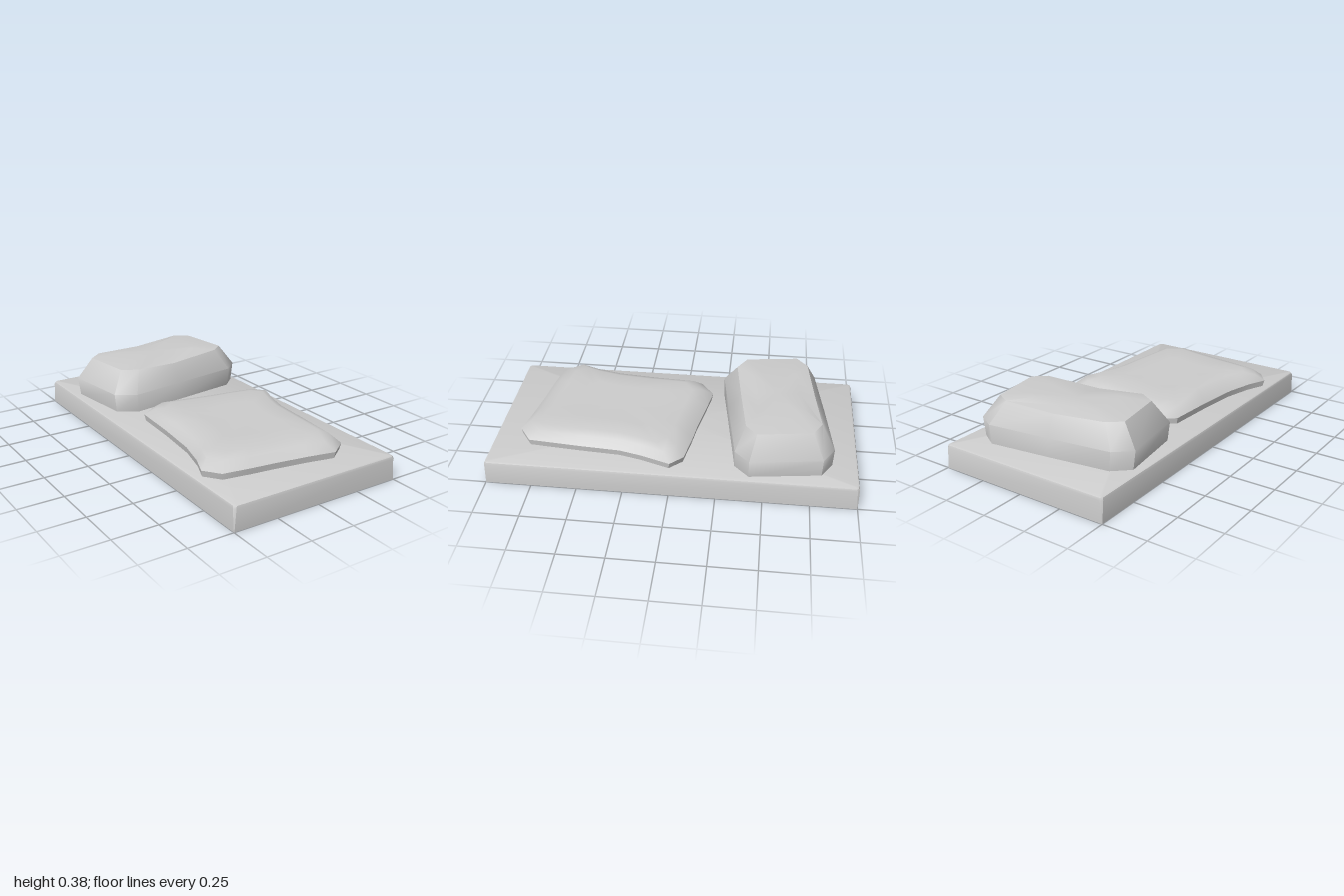
import * as THREE from 'three';
import { toCreasedNormals } from 'three/addons/utils/BufferGeometryUtils.js';

// Skin a stack of rings (each ring: [x, y, z] points, clockwise from above) and close both ends.
function loft(rings, crease, topDip = 0) {
  const n = rings[0].length;
  const verts = rings.flat();
  const index = [];
  for (let r = 0; r < rings.length - 1; r++) {
    for (let j = 0; j < n; j++) {
      const a = r * n + j, b = r * n + (j + 1) % n;
      index.push(a, a + n, b, b, a + n, b + n);
    }
  }
  const middle = (ring, drop) => {
    const c = [0, 0, 0];
    ring.forEach((p) => p.forEach((v, k) => { c[k] += v / n; }));
    c[1] -= drop;
    return verts.push(c) - 1;
  };
  const bottom = middle(rings[0], 0);
  const top = middle(rings[rings.length - 1], topDip);
  const last = (rings.length - 1) * n;
  for (let j = 0; j < n; j++) {
    const k = (j + 1) % n;
    index.push(bottom, j, k, top, last + k, last + j);
  }
  const geo = new THREE.BufferGeometry();
  geo.setAttribute('position', new THREE.Float32BufferAttribute(verts.flat(), 3));
  geo.setIndex(index);
  return toCreasedNormals(geo, crease);
}

// Rectangle with cut corners.
function cutRectangle(w, d, c, y) {
  return [
    [-w, y, -d + c], [-w + c, y, -d], [w - c, y, -d], [w, y, -d + c],
    [w, y, d - c], [w - c, y, d], [-w + c, y, d], [-w, y, d - c],
  ];
}

// Cushion rings: an outline [x, z] shrunk about its centre; levels are [scaleX, scaleZ, y, dip],
// where dip lowers the outline near the middle of the cushion's width.
function cushionRings(outline, cx, cz, levels) {
  return levels.map(([sx, sz, y, dip]) => outline.map(([x, z]) => {
    const sag = dip * Math.max(0, 1 - Math.abs(x - cx) / 0.2);
    return [cx + (x - cx) * sx, y - sag, cz + (z - cz) * sz];
  }));
}

export function createModel() {
  const model = new THREE.Group();
  const grey = new THREE.MeshStandardMaterial({ color: 0xcccccc });
  grey.name = 'plain grey';
  const add = (name, geometry) => {
    const mesh = new THREE.Mesh(geometry, grey);
    mesh.name = name;
    model.add(mesh);
  };

  // Mattress slab with a softened upper edge
  add('mattress', loft([
    cutRectangle(0.5, 1, 0.002, 0),
    cutRectangle(0.5, 1, 0.012, 0.118),
    cutRectangle(0.496, 0.996, 0.012, 0.13),
    cutRectangle(0.487, 0.987, 0.01, 0.135),
  ], 0.6));

  // Tall pillow, turned slightly, with a sagging middle
  const pillow = [
    [-0.47, -0.69], [-0.38, -0.77], [-0.03, -0.82], [0.32, -0.865], [0.42, -0.805],
    [0.475, -0.42], [0.39, -0.34], [0, -0.285], [-0.31, -0.24], [-0.42, -0.31],
  ];
  add('pillow', loft(cushionRings(pillow, 0, -0.555, [
    [0.97, 0.99, 0.13, 0],
    [1, 1, 0.24, 0],
    [0.82, 0.76, 0.36, 0.016],
    [0.48, 0.45, 0.376, 0.02],
  ]), 0.75, 0.006));

  // Low folded blanket with drawn-in sides and pulled-out corners
  const blanket = [
    [-0.34, -0.11], [-0.24, -0.18], [-0.1, -0.155], [0.08, -0.12], [0.22, -0.1], [0.38, -0.07],
    [0.445, 0], [0.39, 0.16], [0.36, 0.28], [0.345, 0.5], [0.32, 0.79],
    [0.22, 0.86], [0.08, 0.83], [-0.1, 0.8], [-0.25, 0.78], [-0.4, 0.755],
    [-0.465, 0.67], [-0.42, 0.56], [-0.38, 0.4], [-0.355, 0.15],
  ];
  add('blanket', loft(cushionRings(blanket, -0.01, 0.34, [
    [0.98, 0.985, 0.13, 0],
    [1, 1, 0.17, 0],
    [0.89, 0.89, 0.212, 0],
    [0.77, 0.77, 0.228, 0.004],
    [0.45, 0.45, 0.226, 0.002],
  ]), 0.8, 0.002));

  return model;
}
